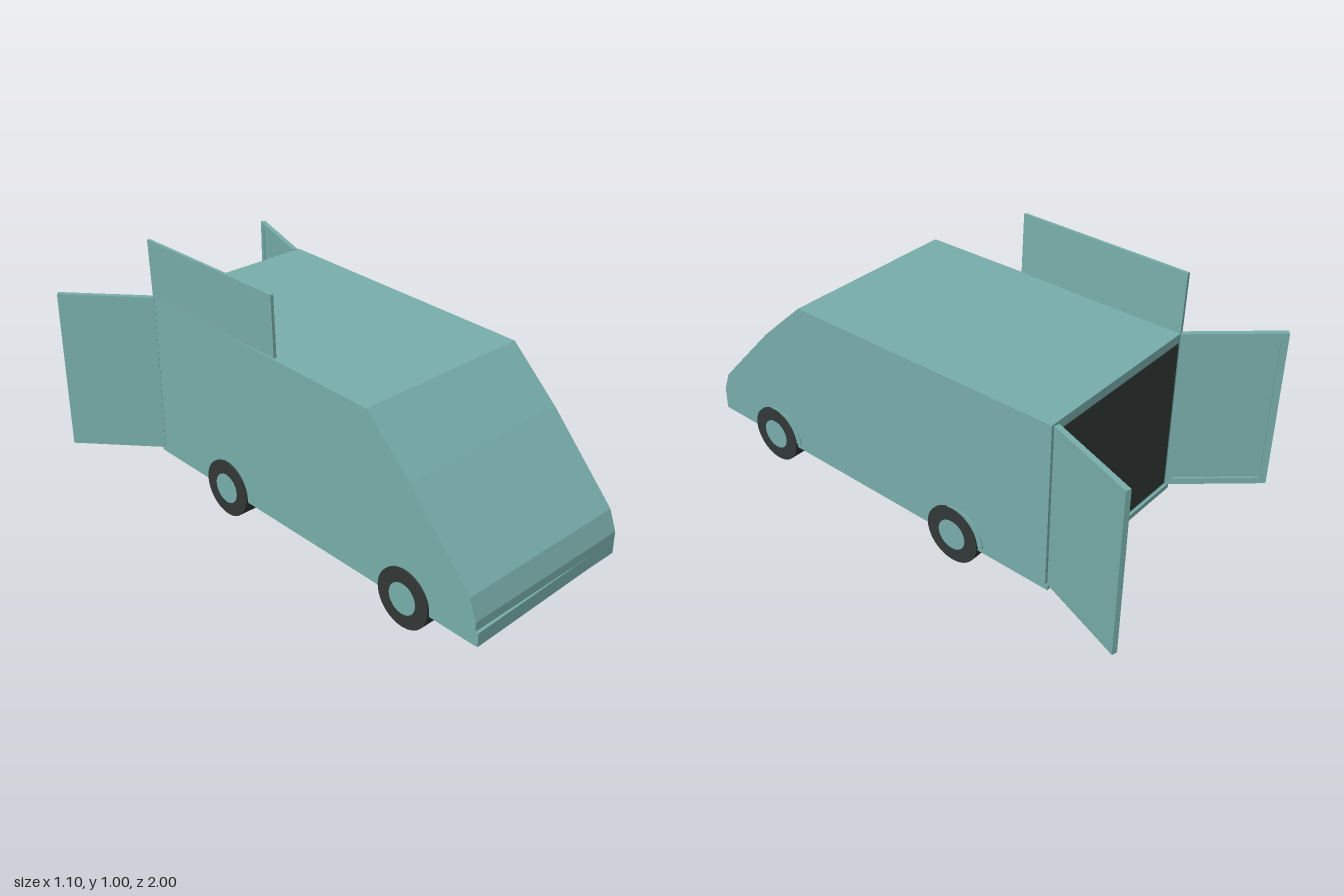
import * as THREE from 'three';

export function createModel() {
  const paint = new THREE.MeshStandardMaterial({ color: 0x78aeab, name: 'teal paint' });
  const dark = new THREE.MeshStandardMaterial({ color: 0x323837, name: 'dark rubber' });
  const HALF = 0.365;
  const root = new THREE.Group();
  root.name = 'van';

  const add = (parent, name, geo, mat, x = 0, y = 0, z = 0) => {
    const m = new THREE.Mesh(geo, mat);
    m.name = name;
    m.position.set(x, y, z);
    parent.add(m);
    return m;
  };
  const box = (w, h, d) => new THREE.BoxGeometry(w, h, d);

  // The van stands at a slight yaw
  const van = new THREE.Group();
  van.name = 'bodyGroup';
  van.position.x = 0.03;
  van.rotation.y = -0.037;
  root.add(van);

  // Body: side profile (z, y) extruded across the width
  const profile = [[-0.66, 0.1], [0.985, 0.1], [0.985, 0.19], [0.955, 0.27],
    [0.685, 0.565], [0.487, 0.75], [-0.66, 0.77]];
  const bodyGeo = new THREE.ExtrudeGeometry(
    new THREE.Shape(profile.map(p => new THREE.Vector2(...p))),
    { depth: HALF * 2, bevelEnabled: false });
  bodyGeo.rotateY(-Math.PI / 2).translate(HALF, 0, 0);
  add(van, 'body', bodyGeo, paint);

  // Bumper, standing slightly proud on one side
  const bumper = add(van, 'frontBumper', box(0.72, 0.054, 0.03), paint, -0.005, 0.128, 0.975);
  bumper.rotation.y = 0.02;

  // Dark load opening, and the sill below it
  add(van, 'loadOpening', box(0.69, 0.605, 0.006), dark, 0, 0.433, -0.66);
  add(van, 'rearSill', box(0.73, 0.02, 0.012), paint, 0, 0.11, -0.664);

  // Raised side flap on the roof edge
  const flap = add(van, 'sideFlap', box(0.012, 0.236, 0.7), paint, -0.364, 0.882, -0.31);
  flap.rotation.z = 0.03;

  // Wheels with hub discs, and arches on one side
  const disc = (r, w) => new THREE.CylinderGeometry(r, r, w, 40).rotateZ(Math.PI / 2);
  for (const z of [0.676, -0.25]) {
    for (const side of [-1, 1]) {
      const wheel = new THREE.Group();
      wheel.name = 'wheel';
      wheel.position.set(side * 0.324, 0.114, z);
      van.add(wheel);
      add(wheel, 'tyre', disc(0.114, 0.1), dark);
      add(wheel, 'hub', disc(0.06, 0.006), paint, side * 0.049);
    }
    const arch = new THREE.CylinderGeometry(0.115, 0.115, 0.008, 40, 1, false, 0, Math.PI)
      .rotateZ(Math.PI / 2);
    add(van, 'wheelArch', arch, paint, HALF, 0.12, z - 0.022);
  }

  // Open rear doors: outer skin plus a raised frame on the inner face
  const doors = [
    { side: 1, x: 0.405, z: -0.655, angle: Math.atan2(0.35, 0.135), len: 0.368 },
    { side: -1, x: -0.305, z: -0.67, angle: Math.atan2(0.29, -0.24), len: 0.375 },
  ];
  for (const { side, x, z, angle, len } of doors) {
    const door = new THREE.Group();
    door.name = side > 0 ? 'leftRearDoor' : 'rightRearDoor';
    door.position.set(x, 0.445, z);
    door.rotation.y = angle;
    van.parent.add(door);
    add(door, 'doorSkin', box(len, 0.65, 0.012), paint, len / 2, 0, side * 0.004);
    const t = 0.026, inner = -side * 0.006;
    for (const s of [-1, 1]) {
      add(door, 'doorFrameRail', box(len, t, 0.008), paint, len / 2, s * (0.325 - t / 2), inner);
      add(door, 'doorFrameStile', box(t, 0.65 - 2 * t, 0.008), paint,
        len / 2 + s * (len - t) / 2, 0, inner);
    }
  }
  return root;
}
